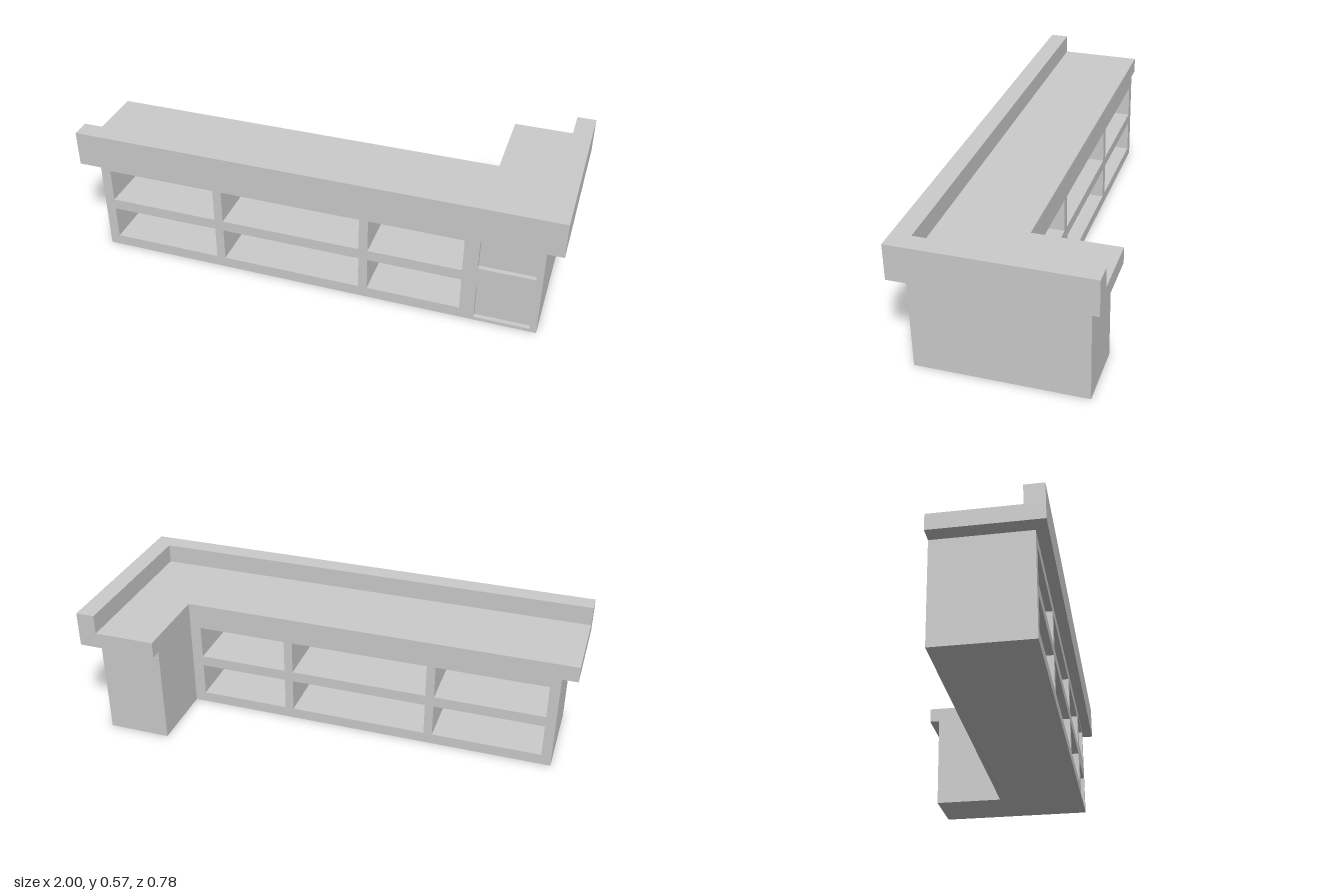
import * as THREE from 'three';

export function createModel() {
  const group = new THREE.Group();
  const material = new THREE.MeshStandardMaterial({ color: 0xcccccc, flatShading: true });

  const add = (name, geometry) => {
    const mesh = new THREE.Mesh(geometry, material);
    mesh.name = name;
    group.add(mesh);
  };
  const corners = (x0, x1, y0, y1) =>
    [[x0, y0], [x1, y0], [x1, y1], [x0, y1]].map(([x, y]) => new THREE.Vector2(x, y));

  // Upright board with rectangular openings, running from z0 to z1
  const board = (outline, openings, z0, z1) => {
    const shape = new THREE.Shape(corners(...outline));
    for (const o of openings) shape.holes.push(new THREE.Path(corners(...o).reverse()));
    return new THREE.ExtrudeGeometry(shape, { depth: z1 - z0, bevelEnabled: false }).translate(0, 0, z0);
  };

  // L-shaped slab in plan: front strip back to zIn, side strip from xIn to the left end
  const lSlab = (xIn, zIn, y0, y1) => {
    const plan = [[-1, 0.388], [1, 0.388], [1, -0.388], [xIn, -0.388], [xIn, zIn], [-1, zIn]];
    const shape = new THREE.Shape(plan.map(([x, z]) => new THREE.Vector2(x, -z)));
    return new THREE.ExtrudeGeometry(shape, { depth: y1 - y0, bevelEnabled: false })
      .rotateX(-Math.PI / 2).translate(0, y0, 0);
  };

  const top = 0.425, front = 0.343, back = -0.04, inner = 0.668, recess = 0.02;

  // Open shelving: two rows of three bays right through the counter
  const bays = [];
  for (const [x0, x1] of [[-0.893, -0.428], [-0.391, 0.198], [0.235, 0.62]])
    for (const [y0, y1] of [[0.046, 0.19], [0.236, 0.381]]) bays.push([x0, x1, y0, y1]);
  add('shelving', board([-0.935, inner, 0, top], bays, back, front));

  // Solid return cabinet with two recessed panels on its front
  const length = 2 * front - recess;
  add('returnCabinet', new THREE.BoxGeometry(0.932 - inner, top, length)
    .translate((0.932 + inner) / 2, top / 2, -front + length / 2));
  const panels = [[0.68, 0.905, 0.014, 0.168], [0.68, 0.905, 0.26, 0.414]];
  add('panelFrame', board([inner, 0.932, 0, top], panels, front - recess, front));

  // Worktop and the raised ledge along its outer edges
  add('worktop', lSlab(inner, back, top, 0.492));
  add('ledge', lSlab(0.922, 0.31, 0.492, 0.573));

  return group;
}
